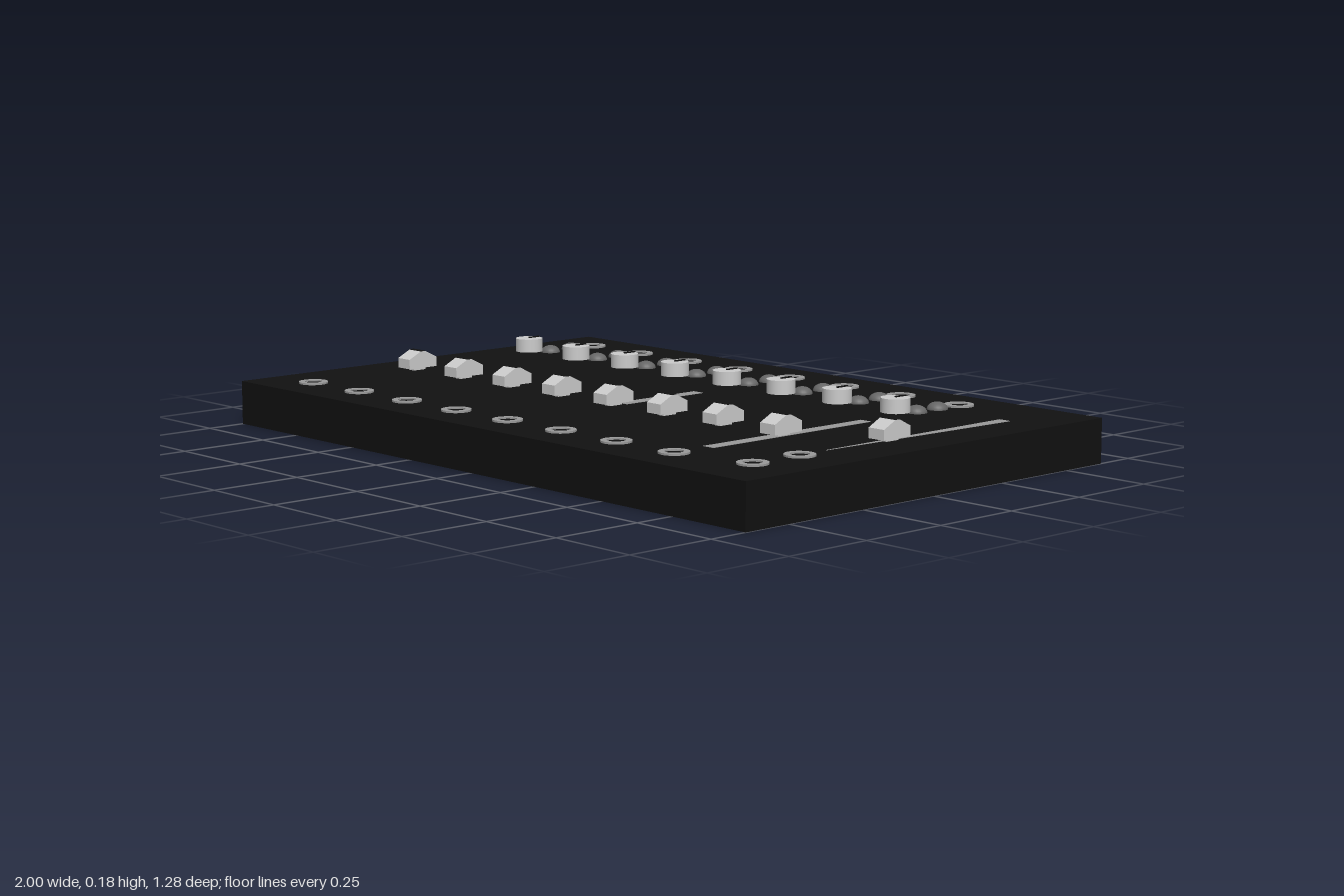
import * as THREE from 'three';

const DECK = 0.12;
const paint = (color) => new THREE.MeshStandardMaterial({ color });
const black = paint(0x111111);
const grey = paint(0xcccccc);
const metal = paint(0x999999);
const rubber = paint(0x666666);

function add(parent, name, geometry, material, x = 0, y = 0, z = 0) {
  const mesh = new THREE.Mesh(geometry, material);
  mesh.name = name;
  mesh.position.set(x, y, z);
  parent.add(mesh);
  return mesh;
}

// Thin flat panel lying on the deck, from [x, z] corners
function deckPanel(corners) {
  const shape = new THREE.Shape(corners.map(([x, z]) => new THREE.Vector2(x, -z)));
  return new THREE.ExtrudeGeometry(shape, { depth: 0.001, bevelEnabled: false }).rotateX(-Math.PI / 2);
}

// Socket: raised ring around a dark hole
const ringShape = new THREE.Shape().absarc(0, 0, 0.04, 0, Math.PI * 2);
ringShape.holes.push(new THREE.Path().absarc(0, 0, 0.024, 0, Math.PI * 2, true));
const ringGeo = new THREE.ExtrudeGeometry(ringShape, { depth: 0.005, bevelEnabled: false, curveSegments: 16 })
  .rotateX(-Math.PI / 2);
const holeGeo = new THREE.CircleGeometry(0.024, 24).rotateX(-Math.PI / 2);

function socket(parent, name, x, z) {
  const g = new THREE.Group();
  g.name = name;
  g.position.set(x, DECK, z);
  add(g, 'socketRing', ringGeo, metal);
  add(g, 'socketHole', holeGeo, black, 0, 0.001, 0);
  parent.add(g);
}

// Fader cap: gabled side profile extruded across x
const capGeo = new THREE.ExtrudeGeometry(
  new THREE.Shape([[-0.048, 0.008], [0.048, 0.008], [0.048, 0.035], [0.008, 0.055], [-0.008, 0.055], [-0.048, 0.035]]
    .map(([z, y]) => new THREE.Vector2(z, y))),
  { depth: 0.052, bevelEnabled: false }
).translate(0, 0, -0.026).rotateY(-Math.PI / 2);
const capStemGeo = new THREE.BoxGeometry(0.02, 0.01, 0.042);
const capLineGeo = new THREE.BoxGeometry(0.052, 0.001, 0.016);

function fader(parent, name, x, z) {
  const g = new THREE.Group();
  g.name = name;
  g.position.set(x, DECK, z);
  add(g, 'faderCap', capGeo, grey);
  add(g, 'faderStem', capStemGeo, grey, 0, 0.005, 0);
  add(g, 'faderLine', capLineGeo, black, 0, 0.0556, 0);
  parent.add(g);
}

// Rotary knob with a dark pointer, and the domed buttons
const knobGeo = new THREE.CylinderGeometry(0.039, 0.039, 0.038, 32);
const pointerGeo = new THREE.BoxGeometry(0.007, 0.004, 0.038);
const domeGeo = new THREE.SphereGeometry(0.028, 24, 8, 0, Math.PI * 2, 0, Math.PI / 2).scale(1, 0.72, 1);

export function createModel() {
  const model = new THREE.Group();
  model.name = 'mixingDesk';
  add(model, 'deskBody', new THREE.BoxGeometry(2, DECK, 1.28), black, 0, DECK / 2, 0);

  // Eight identical channel strips
  for (let i = 0; i < 8; i++) {
    const x = -0.837 + i * 0.2087;
    const strip = new THREE.Group();
    strip.name = `channel${i + 1}`;
    model.add(strip);
    socket(strip, 'inputSocket', x, -0.51);
    for (const z of [-0.428, -0.348]) add(strip, 'button', domeGeo, rubber, x - 0.002, DECK, z);
    add(strip, 'knob', knobGeo, grey, x, 0.151, -0.264);
    add(strip, 'knobPointer', pointerGeo, black, x, 0.171, -0.283);
    fader(strip, 'fader', x, 0.151);
    socket(strip, 'outputSocket', x, 0.515);
  }

  // Fader tracks that show on the deck
  const track = (name, x, z0, z1) => add(model, name,
    deckPanel([[-0.018, z0], [-0.018, z1], [0.018, z1], [0.018, z0]]), metal, x, DECK, 0);
  track('faderTrack', -0.002, -0.157, 0.12);
  track('faderTrack', 0.622, -0.157, 0.4);

  // Master section: tapering track, fader and two sockets
  add(model, 'masterTrack',
    deckPanel([[0.84, -0.425], [0.847, 0.22], [0.849, 0.22], [0.875, -0.425]]), metal, 0, DECK, 0);
  fader(model, 'masterFader', 0.857, 0.006);
  socket(model, 'masterLeftSocket', 0.855, 0.318);
  socket(model, 'masterRightSocket', 0.855, 0.476);

  return model;
}
